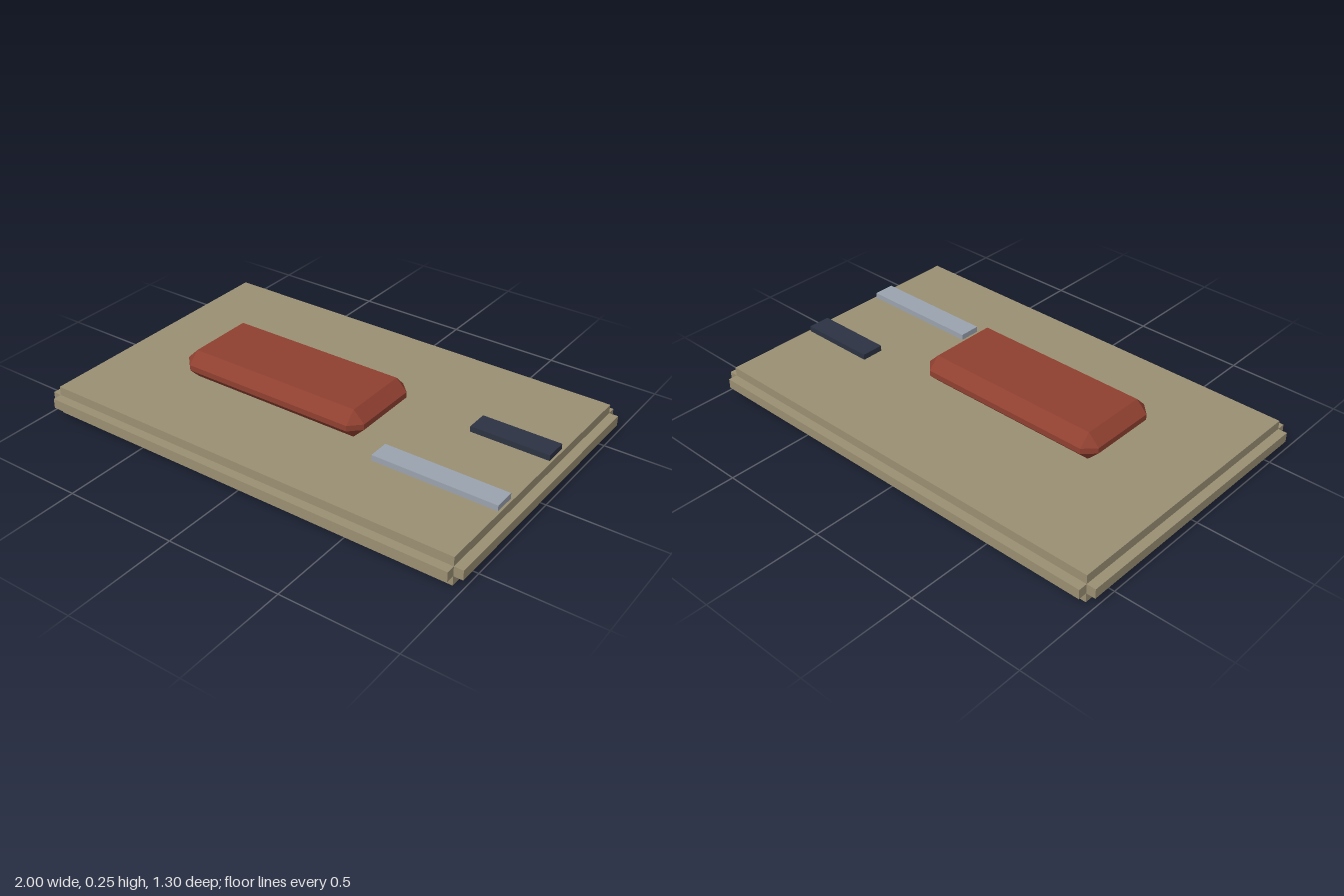
import * as THREE from 'three';
import { ConvexGeometry } from 'three/addons/geometries/ConvexGeometry.js';

const material = (color) => new THREE.MeshStandardMaterial({ color, flatShading: true });

// Box given by its minimum and maximum corners
function box(name, min, max, mat) {
  const size = max.map((v, i) => v - min[i]);
  const mesh = new THREE.Mesh(new THREE.BoxGeometry(...size), mat);
  mesh.position.set(...max.map((v, i) => (v + min[i]) / 2));
  mesh.name = name;
  return mesh;
}

// Box with every edge cut at 45 degrees, as the hull of three points per corner
function chamferedBox(w, h, d, c) {
  const points = [];
  for (const sx of [-1, 1]) for (const sy of [-1, 1]) for (const sz of [-1, 1]) {
    const half = [sx * w / 2, sy * h / 2, sz * d / 2];
    const inner = [sx * (w / 2 - c), sy * (h / 2 - c), sz * (d / 2 - c)];
    for (let axis = 0; axis < 3; axis++) {
      points.push(new THREE.Vector3(...inner.map((v, i) => (i === axis ? half[i] : v))));
    }
  }
  return new ConvexGeometry(points);
}

export function createModel() {
  const group = new THREE.Group();
  group.name = 'panel';
  const tan = material(0x9a8f72);

  // Base slab
  const X = 0.96, Z = 0.61, top = 0.125, lip = 0.04;
  group.add(box('baseSlab', [-X, 0, -Z], [X, top, Z], tan));

  // Thin ribs around the four sides, leaving the corners notched
  const y0 = 0.042, y1 = 0.085;
  group.add(
    box('leftRib', [X, y0, -Z], [X + lip, y1, Z], tan),
    box('rightRib', [-X - lip, y0, -Z], [-X, y1, Z], tan),
    box('frontRib', [-X, y0, Z], [X, y1, Z + lip], tan),
    box('backRib', [-X, y0, -Z - lip], [X, y1, -Z], tan),
  );

  // Raised block with chamfered edges
  const block = new THREE.Mesh(chamferedBox(0.9, 0.125, 0.4, 0.05), material(0x8f4030));
  block.position.set(-0.15, top + 0.0625, 0.05);
  block.name = 'raisedBlock';
  group.add(block);

  // Two flat bars near the left edge
  group.add(
    box('lightBar', [0.4, top, 0.2], [0.95, 0.15, 0.295], material(0x9aa2ae)),
    box('darkBar', [0.6, top, -0.2], [0.95, 0.15, -0.1], material(0x2c3242)),
  );
  return group;
}
